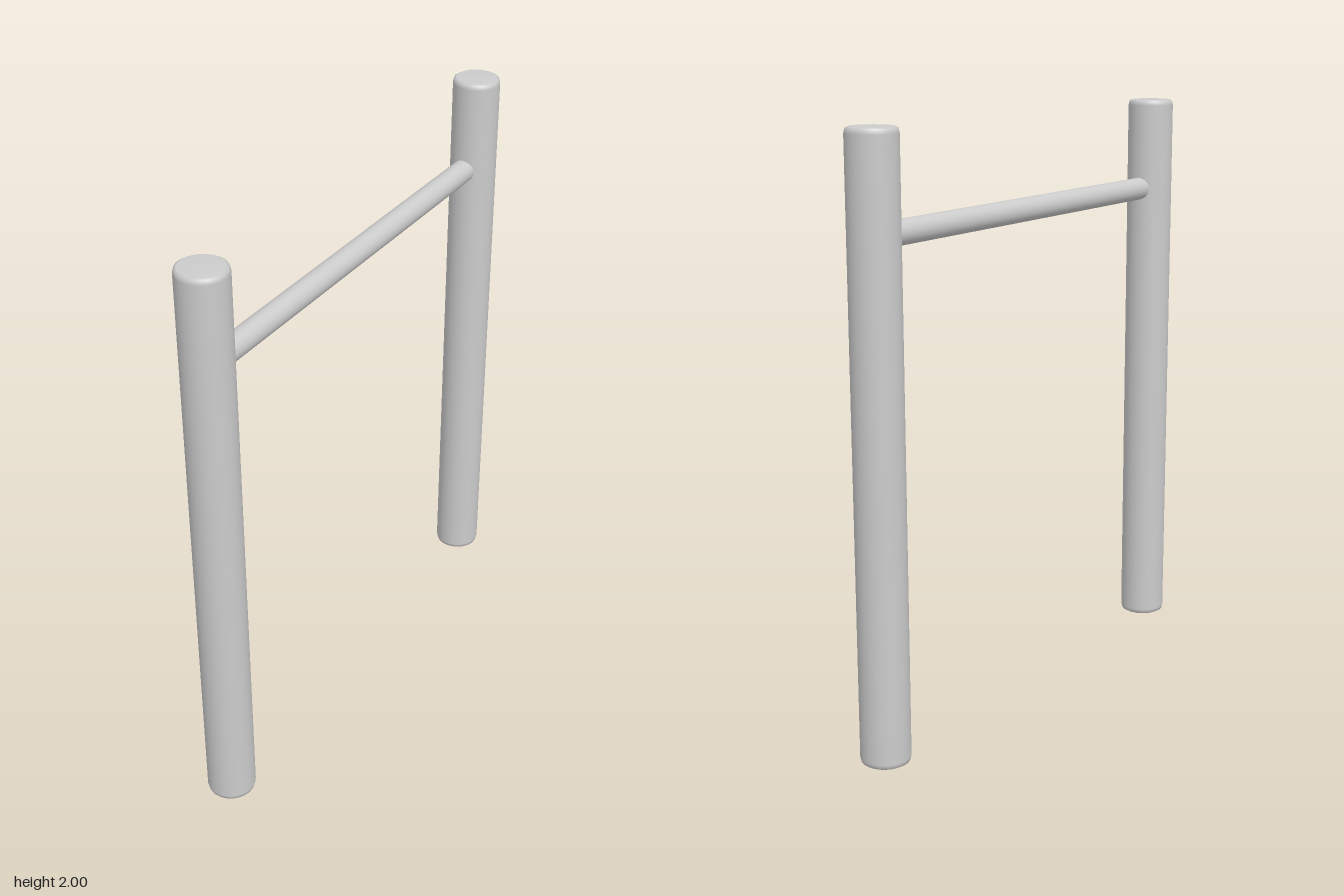
import * as THREE from 'three';

export function createModel() {
  const model = new THREE.Group();
  const material = new THREE.MeshStandardMaterial({ color: 0xcccccc });

  const height = 2, radius = 0.082, bevel = 0.012, postZ = 0.812;

  // Round post with slightly eased ends
  const profile = [
    [0, 0], [radius - bevel, 0], [radius - bevel * 0.3, bevel * 0.4], [radius, bevel * 1.6],
    [radius, height - bevel * 1.6], [radius - bevel * 0.3, height - bevel * 0.4],
    [radius - bevel, height], [0, height],
  ].map(([r, y]) => new THREE.Vector2(r, y));
  const postGeometry = new THREE.LatheGeometry(profile, 32);

  // Front and back posts
  for (const [name, side] of [['frontPost', 1], ['backPost', -1]]) {
    const post = new THREE.Mesh(postGeometry, material);
    post.name = name;
    post.position.z = side * postZ;
    model.add(post);
  }

  // Crossbar, its ends set into the posts
  const crossbar = new THREE.Mesh(new THREE.CylinderGeometry(0.04, 0.04, 1.52, 32), material);
  crossbar.name = 'crossbar';
  crossbar.rotation.x = Math.PI / 2;
  crossbar.position.y = 1.677;
  model.add(crossbar);

  return model;
}
